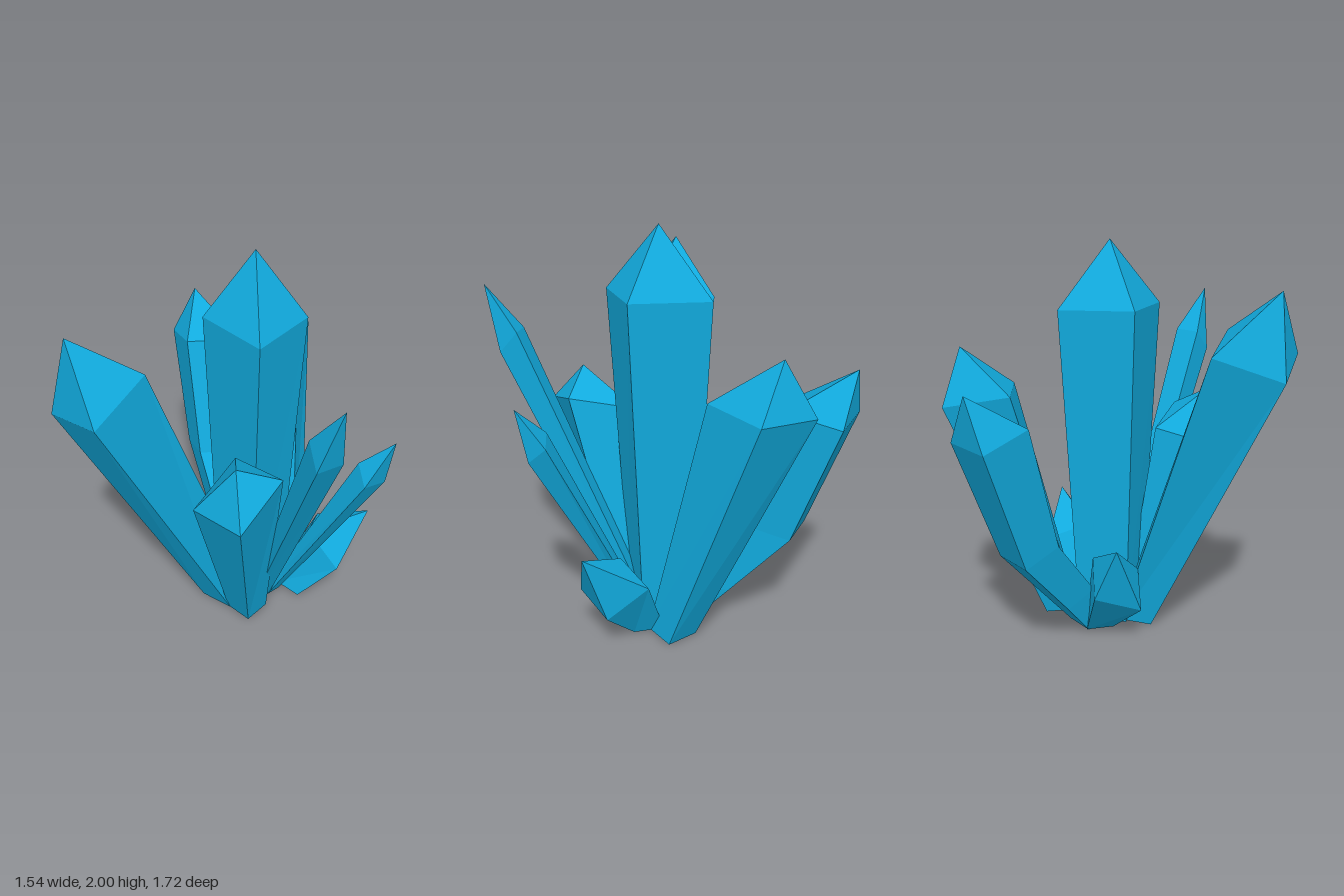
import * as THREE from 'three';

// A four-sided crystal: a flat foot on the ground, optional bends, a shoulder ring and a pointed tip.
// u and v are the half diagonals of the shoulder; the lower rings are scaled copies of it.
function crystalGeometry({ tip, shoulder, u, v, foot, taper, bends = [] }) {
  const ring = ([x, y, z], su, sv, flat = 1) =>
    [[1, 0], [0, -1], [-1, 0], [0, 1]].map(([a, b]) => [
      x + a * su * u[0] + b * sv * v[0],
      y + (a * su * u[1] + b * sv * v[1]) * flat,
      z + a * su * u[2] + b * sv * v[2],
    ]);

  const rings = [
    ring([foot[0], 0, foot[1]], taper[0], taper[1], 0),
    ...bends.map(([x, y, z, s]) => ring([x, y, z], s, s)),
    ring(shoulder, 1, 1),
  ];
  const points = [];
  const tri = (...corners) => corners.forEach((c) => points.push(...c));

  // Side facets
  for (let i = 0; i < rings.length - 1; i++) {
    const lo = rings[i], hi = rings[i + 1];
    for (let k = 0; k < 4; k++) {
      const n = (k + 1) % 4;
      tri(lo[k], lo[n], hi[n]);
      tri(lo[k], hi[n], hi[k]);
    }
  }
  // Pointed cap
  const top = rings[rings.length - 1];
  for (let k = 0; k < 4; k++) tri(top[k], top[(k + 1) % 4], tip);
  // Underside
  const f = rings[0];
  tri(f[0], f[2], f[1]);
  tri(f[0], f[3], f[2]);

  const geometry = new THREE.BufferGeometry();
  geometry.setAttribute('position', new THREE.Float32BufferAttribute(points, 3));
  geometry.computeVertexNormals();
  return geometry;
}

const crystals = {
  centreCrystal: {
    tip: [0.12, 2, 0.05], shoulder: [0.124, 1.67, 0.054],
    u: [0.242, 0, 0], v: [0.013, 0, 0.3], foot: [0.12, 0.055], taper: [0.68, 0.66],
  },
  tallRightCrystal: {
    tip: [-0.675, 1.8, 0.49], shoulder: [-0.565, 1.495, 0.44],
    u: [0.21, 0.095, -0.01], v: [0.017, -0.015, 0.265], foot: [0.005, 0.15], taper: [0.66, 0.4],
  },
  frontCrystal: {
    tip: [0.035, 1.21, 0.605], shoulder: [0.045, 1.015, 0.54],
    u: [0.205, 0.08, -0.01], v: [0.01, -0.015, 0.265], foot: [0.105, 0.24], taper: [0.5, 0.4],
  },
  slimFrontCrystal: {
    tip: [0.455, 1.685, 0.86], shoulder: [0.405, 1.41, 0.745],
    u: [0.073, -0.05, 0.015], v: [-0.043, -0.055, 0.075], foot: [0.175, 0.14], taper: [0.7, 0.7],
  },
  slimLeftCrystal: {
    tip: [0.765, 1.215, 0.41], shoulder: [0.678, 1.01, 0.36],
    u: [0.067, -0.055, 0], v: [-0.043, -0.025, 0.09], foot: [0.245, 0.105], taper: [0.6, 0.6],
  },
  shortLeftCrystal: {
    tip: [0.74, 0.53, 0.068], shoulder: [0.54, 0.29, 0.04],
    u: [0.11, -0.105, -0.04], v: [0.04, -0.04, 0.18], foot: [0.355, 0.03], taper: [0.75, 0.75],
  },
  backLeftCrystal: {
    tip: [0.26, 1.51, -0.695], shoulder: [0.271, 1.26, -0.6],
    u: [0.17, -0.01, -0.09], v: [0.093, 0.02, 0.225], foot: [0.32, -0.15], taper: [0.65, 0.5],
  },
  bentBackCrystal: {
    tip: [-0.19, 1.375, -0.85], shoulder: [-0.125, 1.16, -0.71],
    u: [0.1, -0.035, -0.15], v: [0.19, 0.03, 0.107], foot: [0.08, -0.1], taper: [0.55, 0.55],
    bends: [[0.03, 0.21, -0.24, 0.7], [-0.08, 0.54, -0.51, 0.8]],
  },
  shortRightCrystal: {
    tip: [-0.34, 0.56, -0.17], shoulder: [-0.183, 0.31, -0.08],
    u: [0.125, 0.11, -0.07], v: [0.06, 0.025, 0.16], foot: [0.02, -0.07], taper: [0.6, 0.6],
  },
};

export function createModel() {
  const group = new THREE.Group();
  group.name = 'crystalCluster';
  const material = new THREE.MeshStandardMaterial({ color: 0x11aadd, flatShading: true });
  for (const [name, spec] of Object.entries(crystals)) {
    const mesh = new THREE.Mesh(crystalGeometry(spec), material);
    mesh.name = name;
    group.add(mesh);
  }
  return group;
}
